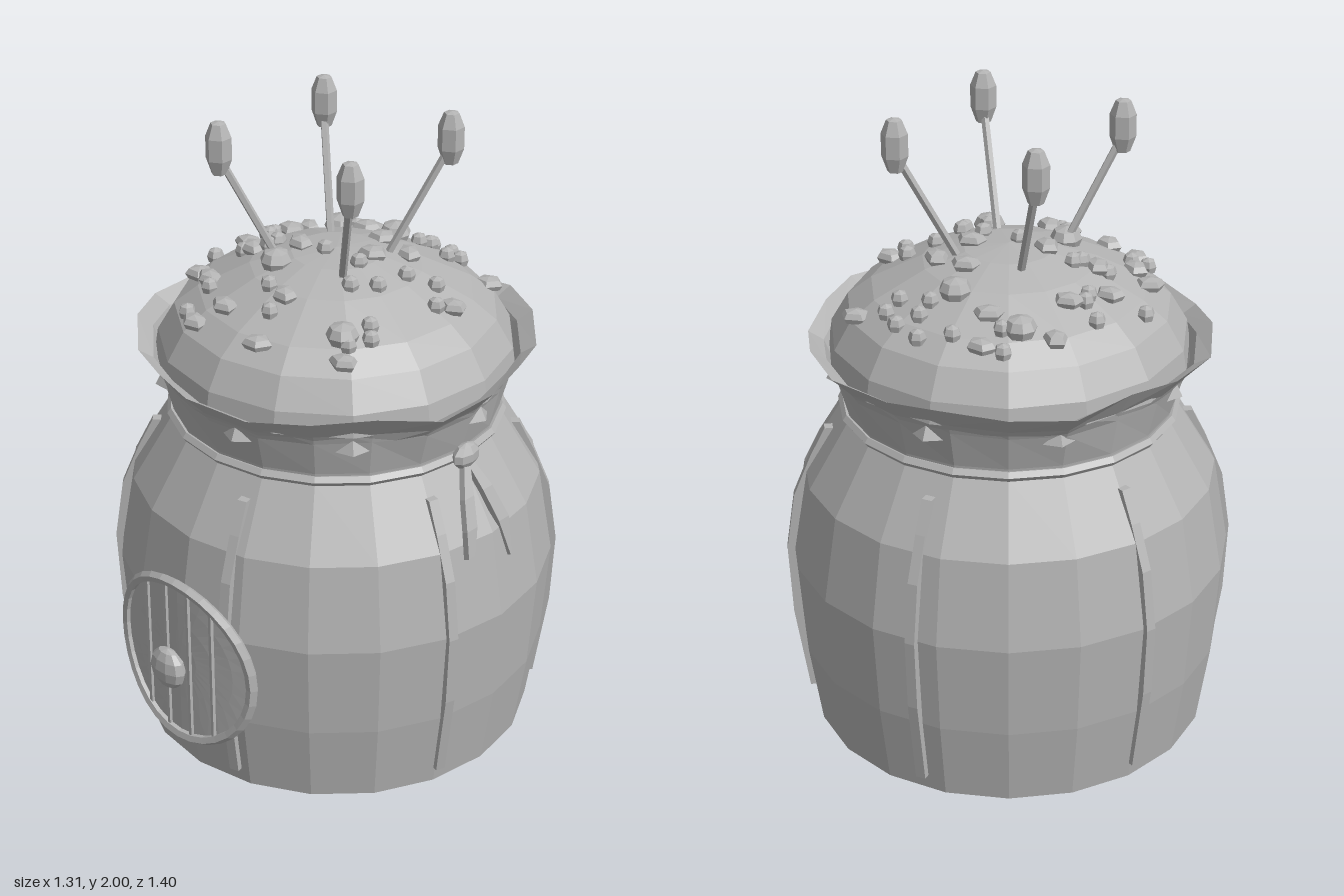
import * as THREE from 'three';

export function createModel() {
  const grey = new THREE.MeshStandardMaterial({ color: 0xb4b4b4, flatShading: true, side: THREE.DoubleSide });
  grey.name = 'plain grey';
  const model = new THREE.Group();
  model.name = 'honeyPotHouse';
  // everything round the pot axis lives in this group, set slightly back
  const pot = new THREE.Group();
  pot.name = 'pot';
  pot.position.z = -0.045;
  model.add(pot);

  const V = (x, y, z) => new THREE.Vector3(x, y, z);
  function add(parent, name, geo, x = 0, y = 0, z = 0) {
    const m = new THREE.Mesh(geo, grey);
    m.name = name;
    m.position.set(x, y, z);
    parent.add(m);
    return m;
  }
  const lathe = (pts, n) => new THREE.LatheGeometry(pts.map(p => new THREE.Vector2(p[0], p[1])), n);
  function reshape(geo, rule) {
    const p = geo.attributes.position, v = new THREE.Vector3();
    for (let i = 0; i < p.count; i++) {
      v.fromBufferAttribute(p, i);
      rule(v);
      p.setXYZ(i, v.x, v.y, v.z);
    }
    geo.computeVertexNormals();
    return geo;
  }
  // strip with a four-sided section along a path, of given half width and half depth
  // side = sideways direction, out = outward direction
  function strip(path, side, out, w, d) {
    const pos = [], idx = [];
    path.forEach((p, i) => {
      const k = Array.isArray(w) ? w[i] : w;
      [[-1, -1], [1, -1], [1, 1], [-1, 1]].forEach(([a, b]) => {
        const q = p.clone().addScaledVector(side, a * k).addScaledVector(out, b * d);
        pos.push(q.x, q.y, q.z);
      });
      if (i) for (let j = 0; j < 4; j++) {
        const a = (i - 1) * 4 + j, b = (i - 1) * 4 + (j + 1) % 4;
        idx.push(a, a + 4, b, b, a + 4, b + 4);
      }
    });
    const e = (path.length - 1) * 4;
    idx.push(0, 1, 2, 0, 2, 3, e, e + 2, e + 1, e, e + 3, e + 2);
    const g = new THREE.BufferGeometry();
    g.setAttribute('position', new THREE.Float32BufferAttribute(pos, 3));
    g.setIndex(idx);
    g.computeVertexNormals();
    return g;
  }

  // barrel-shaped body
  add(pot, 'body', lathe([[0, 0], [0.445, 0], [0.598, 0.1], [0.635, 0.35], [0.655, 0.64],
    [0.61, 0.9], [0.49, 1.1], [0.47, 1.14]], 20));

  // flared cloth collar with an uneven rim
  const collar = lathe([[0.48, 1.09], [0.485, 1.13], [0.515, 1.24], [0.54, 1.305], [0.585, 1.335], [0.53, 1.27], [0.5, 1.22]], 20);
  add(pot, 'collar', reshape(collar, v => {
    const a = Math.atan2(v.x, v.z), t = THREE.MathUtils.clamp((v.y - 1.2) / 0.13, 0, 1);
    const s = 1 + t * (0.025 * Math.sin(a * 5 + 1) + 0.015 * Math.cos(a * 9));
    v.x *= s;
    v.z *= s;
    v.y += t * 0.014 * Math.sin(a * 7 + 2);
  }));
  // small folds standing out of the collar
  [10, 48, 95, 136, 190, 232, 283, 325].forEach(deg => {
    const g = new THREE.ConeGeometry(0.05, 0.04, 3);
    g.scale(1.1, 1, 0.4);
    const a = deg * Math.PI / 180;
    add(pot, 'collarFold', g, 0.515 * Math.sin(a), 1.235, 0.515 * Math.cos(a)).rotation.y = a;
  });

  // rope round the neck
  const rope = new THREE.TorusGeometry(0.487, 0.016, 5, 20);
  rope.rotateX(Math.PI / 2);
  add(pot, 'rope', rope, 0, 1.11, 0);

  // domed filling
  const profile = [[0.53, 1.27], [0.52, 1.335], [0.47, 1.42], [0.4, 1.475], [0.25, 1.55], [0.13, 1.588], [0, 1.6]];
  add(pot, 'dome', lathe(profile, 15));
  function domeHeight(r) {
    for (let i = 1; i < profile.length; i++) {
      const [r0, y0] = profile[i - 1], [r1, y1] = profile[i];
      if (r >= r1 && r <= r0) return y0 + (y1 - y0) * (r0 - r) / (r0 - r1);
    }
    return profile[0][1];
  }

  // crumbs scattered on the dome: [x, z] pairs by kind
  const nuggets = [[-0.24, -0.32], [-0.01, -0.31], [-0.09, 0.11], [0.26, 0.21]];
  const chips = [[-0.18, -0.42], [0.26, -0.42], [-0.33, -0.28], [-0.28, -0.15], [-0.33, -0.02],
    [-0.24, 0.05], [-0.34, 0.17], [-0.11, 0.3], [-0.17, 0.36], [0.08, 0.36], [0.04, 0.21], [0.31, 0.26],
    [0.1, -0.09], [0.14, -0.2], [0.03, -0.21], [0.36, -0.14], [-0.1, 0], [-0.14, -0.33], [-0.27, 0.2]];
  const crumbs = [[0, -0.47], [0.09, -0.45], [0.04, -0.41], [0.04, -0.36], [0.14, -0.37], [0.15, -0.42],
    [-0.09, -0.43], [-0.24, -0.4], [-0.2, -0.35], [-0.31, -0.11], [-0.3, -0.08], [-0.37, -0.14], [-0.42, 0.03],
    [-0.19, 0], [-0.27, 0.06], [-0.2, 0.03], [-0.01, -0.01], [0.11, -0.02], [0.22, -0.1], [0.28, -0.16],
    [0.34, -0.09], [0.21, 0.01], [0.16, 0.07], [0.29, 0.13], [0.32, 0.16], [0.29, 0.22], [-0.03, 0.2],
    [0.04, 0.27], [-0.23, 0.24], [-0.23, 0.33]];
  function scatter(name, list, r, h, sides, stretch) {
    const geo = lathe([[0, -h], [r * 0.8, -h * 0.7], [r, 0], [r * 0.75, h * 0.7], [0, h]], sides);
    geo.scale(stretch, 1, 1);
    list.forEach(([x, z], i) => {
      const y = domeHeight(Math.hypot(x, z + 0.045));
      add(model, name, geo, x, y + h * 0.35, z).rotation.y = sides === 5 ? Math.sin(i * 2.3) * 0.6 : i;
    });
  }
  scatter('nugget', nuggets, 0.047, 0.035, 8, 1);
  scatter('chip', chips, 0.035, 0.022, 5, 1.3);
  scatter('crumb', crumbs, 0.026, 0.026, 6, 1);

  // four stalks with pod heads
  [[-0.1, -0.13, -0.24, -0.25], [0.09, -0.15, 0.21, -0.29], [0.1, 0.04, 0.25, 0.17], [-0.09, 0.08, -0.21, 0.21]]
    .forEach(([x0, z0, x1, z1]) => {
      const path = new THREE.LineCurve3(V(x0, 1.55, z0), V(x1 * 0.96, 1.87, z1 * 0.96));
      add(model, 'stalk', new THREE.TubeGeometry(path, 1, 0.012, 5));
      add(model, 'pod', lathe([[0, -0.08], [0.022, -0.075], [0.038, -0.03], [0.038, 0.035], [0.022, 0.075], [0, 0.08]], 6), x1, 1.92, z1);
    });

  // six upright ribs bowed over the body (angles from the front towards the left)
  [14, 73, 132, 191.5, 253, 312.5].forEach(deg => {
    const a = deg * Math.PI / 180;
    const out = V(Math.sin(a), 0, Math.cos(a)), side = V(Math.cos(a), 0, -Math.sin(a));
    const path = [[0.53, 1.04], [0.575, 0.95], [0.628, 0.82], [0.655, 0.64], [0.645, 0.42], [0.605, 0.15]]
      .map(([r, y]) => out.clone().multiplyScalar(r).setY(y));
    add(pot, 'rib', strip(path, side, out, 0.015, 0.015));
  });

  // round door bent to the body, with frame, plank seams and knob
  const door = new THREE.Group();
  door.name = 'door';
  door.position.y = 0.51;
  model.add(door);
  const bend = v => { v.z += 0.622 - 0.6 * v.x * v.x; };
  const panel = new THREE.RingGeometry(0.001, 0.262, 32, 4);
  add(door, 'doorPanel', reshape(panel, bend));
  add(door, 'doorFrame', reshape(new THREE.TorusGeometry(0.262, 0.016, 5, 32), v => { bend(v); v.z += 0.004; }));
  [-0.13, -0.045, 0.045, 0.13].forEach(x => {
    const h = Math.sqrt(0.255 * 0.255 - x * x) * 2;
    add(door, 'plankSeam', new THREE.BoxGeometry(0.01, h, 0.012), x, 0, 0.626 - 0.6 * x * x);
  });
  const knob = new THREE.SphereGeometry(0.066, 10, 6);
  knob.scale(1, 1, 0.5);
  add(door, 'knob', knob, 0, -0.005, 0.667);

  // knot and two hanging ends on the left side
  const knot = new THREE.SphereGeometry(0.052, 8, 5);
  knot.scale(0.55, 0.75, 1);
  add(model, 'knot', knot, 0.51, 1.12, -0.035);
  const x = V(0.9, 0.4, 0).normalize(), z = V(0, 0, 1);
  add(model, 'ropeEnd', strip([V(0.51, 1.1, -0.03), V(0.56, 1.02, 0.015), V(0.595, 0.94, 0.04), V(0.61, 0.86, 0.055)],
    z, x, [0.012, 0.02, 0.022, 0.014], 0.01));
  add(model, 'ropeEnd', strip([V(0.51, 1.1, -0.04), V(0.56, 1.02, -0.065), V(0.6, 0.92, -0.095), V(0.62, 0.8, -0.112)],
    z, x, [0.012, 0.02, 0.022, 0.004], 0.01));

  return model;
}
